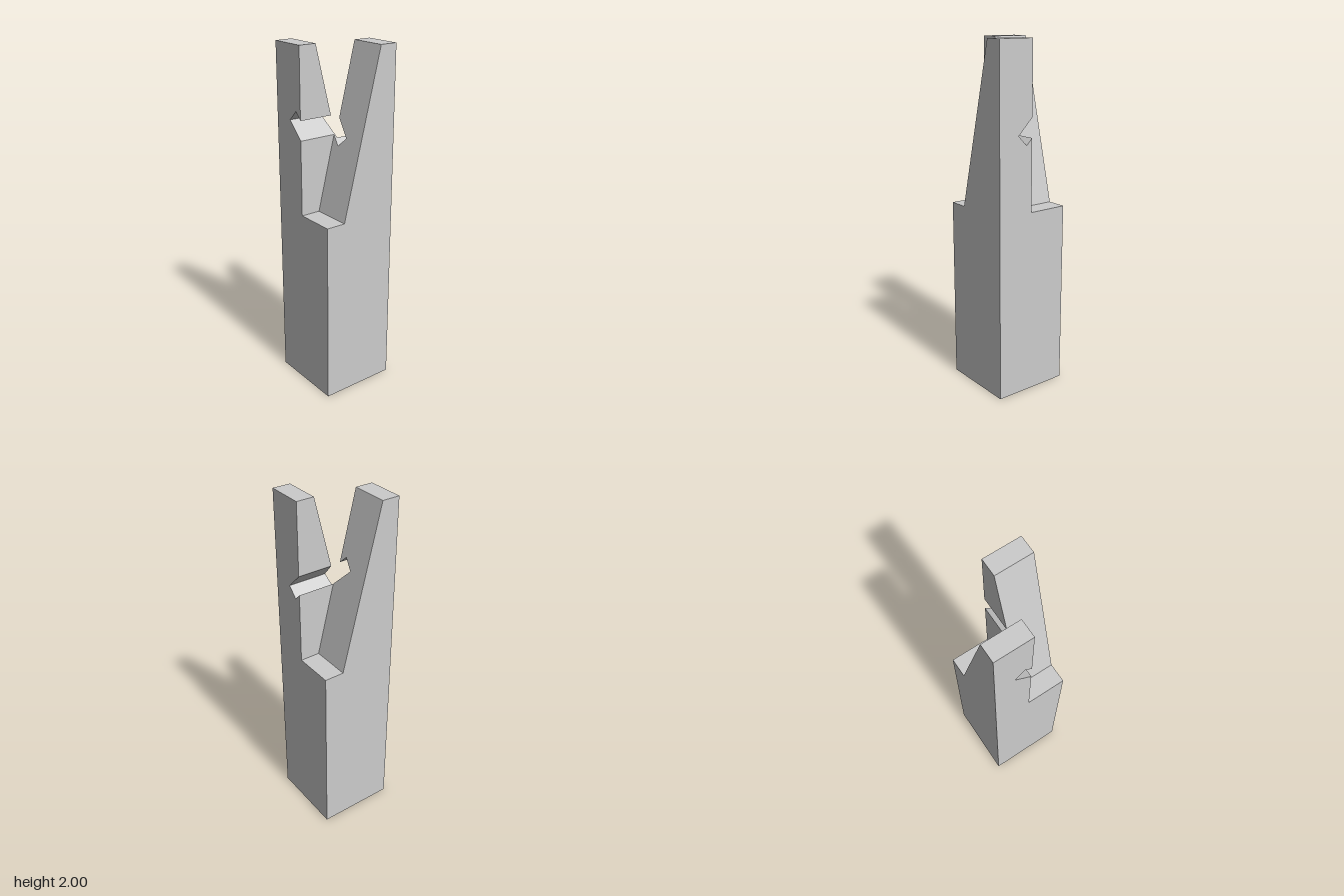
import * as THREE from 'three';

const HALF = 0.225;  // half width of the square column
const STEP = 1.07;   // height of the shoulders
const TOP = 2;
const GAP = 0.008;   // half of the slit between the prongs

// Sloped faces: z as a function of height
const slope = (z0, z1) => y => z0 + (z1 - z0) * (y - STEP) / (TOP - STEP);
const frontSlope = slope(0.11, -0.122);
const backSlope = slope(-0.11, 0.122);

export function createModel() {
  const group = new THREE.Group();
  const material = new THREE.MeshStandardMaterial({ color: 0xcccccc, flatShading: true });

  const add = (name, geometry) => {
    const mesh = new THREE.Mesh(geometry, material);
    mesh.name = name;
    group.add(mesh);
    return mesh;
  };

  // Extrudes an x-y outline, with its back and front ends following z rules
  const slab = (name, points, backZ, frontZ) => {
    const shape = new THREE.Shape(points.map(([x, y]) => new THREE.Vector2(x, y)));
    const geometry = new THREE.ExtrudeGeometry(shape, { depth: 1, bevelEnabled: false });
    const p = geometry.attributes.position;
    for (let i = 0; i < p.count; i++) {
      const y = p.getY(i);
      p.setZ(i, p.getZ(i) < 0.5 ? backZ(y) : frontZ(y));
    }
    geometry.computeVertexNormals();
    return add(name, geometry);
  };

  // Square column
  add('column', new THREE.BoxGeometry(2 * HALF, STEP, 2 * HALF)).position.y = STEP / 2;

  // Front prong, notched by the tilted slot and sloping at its back
  slab('frontProng', [
    [-HALF, STEP], [-GAP, STEP], [-GAP, 1.498], [-0.105, 1.595],
    [-0.05, 1.65], [-GAP, 1.608], [-GAP, TOP], [-HALF, TOP],
  ], backSlope, () => HALF);

  // Back prong, with the other end of the slot and sloping at its front
  slab('backProng', [
    [HALF, TOP], [GAP, TOP], [GAP, 1.592], [0.1, 1.5],
    [0.045, 1.445], [GAP, 1.482], [GAP, STEP], [HALF, STEP],
  ], () => -HALF, frontSlope);

  // Thin web joining the prongs below the slot
  slab('web', [
    [-GAP, STEP], [GAP, STEP], [GAP, 1.482], [-GAP, 1.498],
  ], backSlope, frontSlope);

  return group;
}
